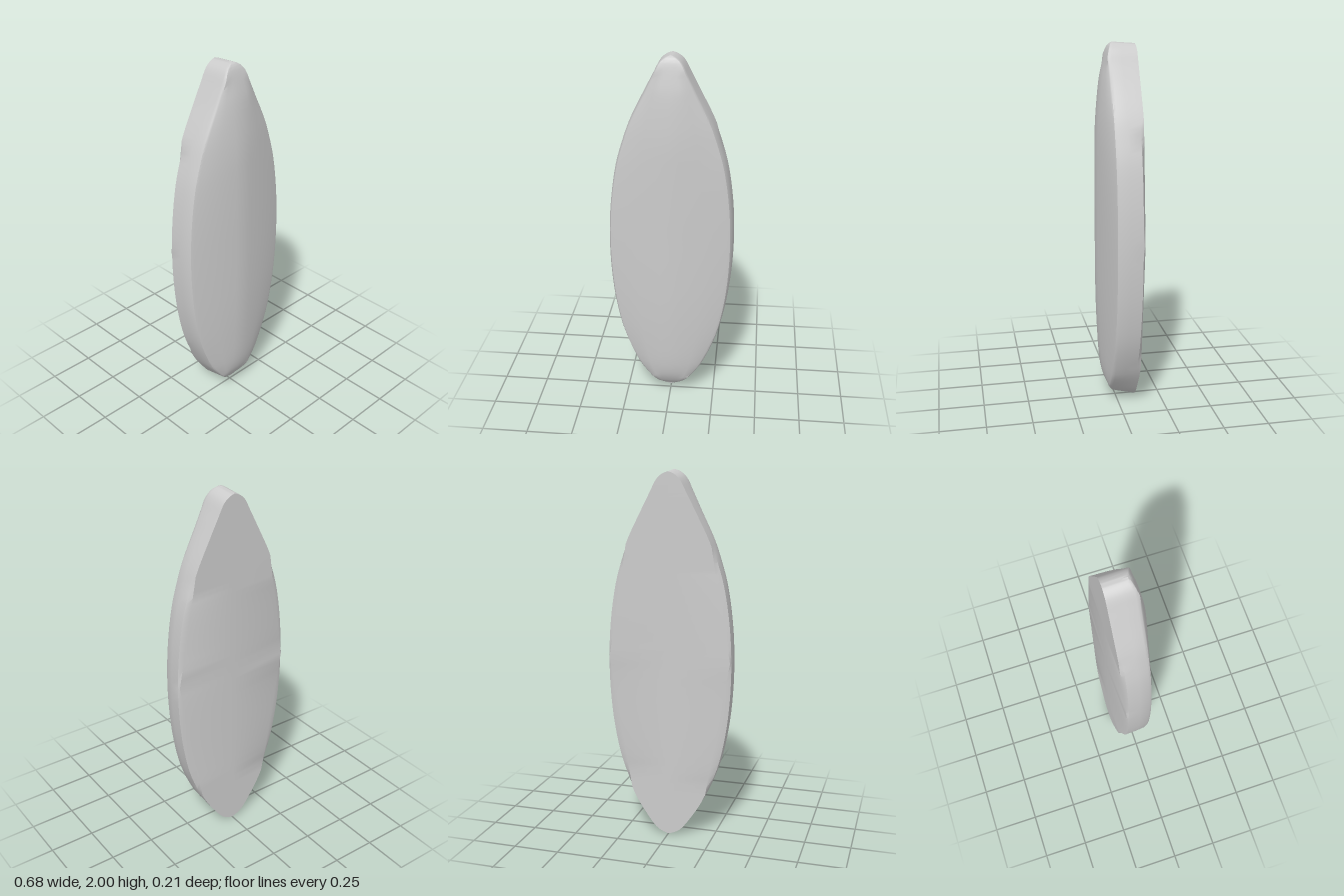
import * as THREE from 'three';
import { toCreasedNormals } from 'three/addons/utils/BufferGeometryUtils.js';

const BACK = -0.105;
// Outline from bottom tip to top tip: half width, height, depth of the front ridge
const OUTLINE = [
  [0, 0, 0.015], [0.035, 0.012, 0.018], [0.07, 0.035, 0.035], [0.125, 0.105, 0.064], [0.19, 0.21, 0.083],
  [0.27, 0.4, 0.096], [0.315, 0.6, 0.103], [0.337, 0.8, 0.105], [0.342, 1.0, 0.105],
  [0.33, 1.2, 0.105], [0.299, 1.4, 0.104], [0.262, 1.53, 0.102], [0.222, 1.64, 0.096],
  [0.142, 1.8, 0.08], [0.1, 1.885, 0.064], [0.06, 1.962, 0.045], [0.03, 1.988, 0.032], [0, 2, 0.018],
];

// Half width of the flat back plate, whose long edges are straight chords
function backHalfWidth(y, w) {
  if (y < 0.25 || y > 1.6) return w;
  const chord = y < 1 ? 0.21 + (y - 0.25) / 0.75 * 0.127 : 0.337 - (y - 1) / 0.6 * 0.102;
  return Math.min(w, chord);
}

// Closed cross-section: flat back, upright side, rounded rim, faceted ridged front
function section({ x: w, y, z: ridge }) {
  const b = backHalfWidth(y, w);
  const rim = Math.min(0.038, ridge - 0.012);
  const crown = Math.min(0.05, w * 0.4);
  const shoulder = w * 0.9;
  const lip = Math.min(rim + 0.014, ridge - 0.003);
  const half = [
    [b, BACK + 0.01 * Math.max(0, (b - 0.23) / 0.11)],
    [w, b < w - 0.002 ? -0.085 : -0.092],
    [w * 0.992, -0.02],
    [w * 0.972, rim - 0.006],
    [w * 0.95, rim + (lip - rim) * 0.55],
    [shoulder, lip],
    [(shoulder + crown) / 2, (lip + ridge) / 2],
    [crown, ridge - 0.002],
  ];
  const mirrored = half.map(([x, z]) => [-x, z]).reverse();
  const loop = [[0, BACK], ...half, [0, ridge], ...mirrored];
  // Both tips lean slightly between back and front
  return loop.map(([x, z]) => {
    const t = Math.min(1, (z - BACK) / 0.13);
    const low = Math.max(0, 1 - y / 0.2) * 0.035 * t;
    const high = Math.max(0, (y - 1.8) / 0.2) * 0.01 * (1 - t);
    return [x, y + low - high, z];
  });
}

export function createModel() {
  const group = new THREE.Group();
  const curve = new THREE.CatmullRomCurve3(OUTLINE.map((p) => new THREE.Vector3(...p)));
  const rows = curve.getPoints(68).map((p) => {
    p.x = Math.max(0, p.x);
    return section(p);
  });

  // Skin the cross-sections from bottom to top
  const n = rows[0].length;
  const index = [];
  for (let i = 0; i < rows.length - 1; i++) {
    for (let j = 0; j < n; j++) {
      const a = i * n + j, b = i * n + (j + 1) % n;
      index.push(a, a + n, b, b, a + n, b + n);
    }
  }
  const geometry = new THREE.BufferGeometry();
  geometry.setAttribute('position', new THREE.Float32BufferAttribute(rows.flat(2), 3));
  geometry.setIndex(index);

  const body = new THREE.Mesh(
    toCreasedNormals(geometry, 0.7),
    new THREE.MeshStandardMaterial({ color: 0xcccccc }),
  );
  body.name = 'leafShapedBody';
  group.add(body);
  return group;
}
